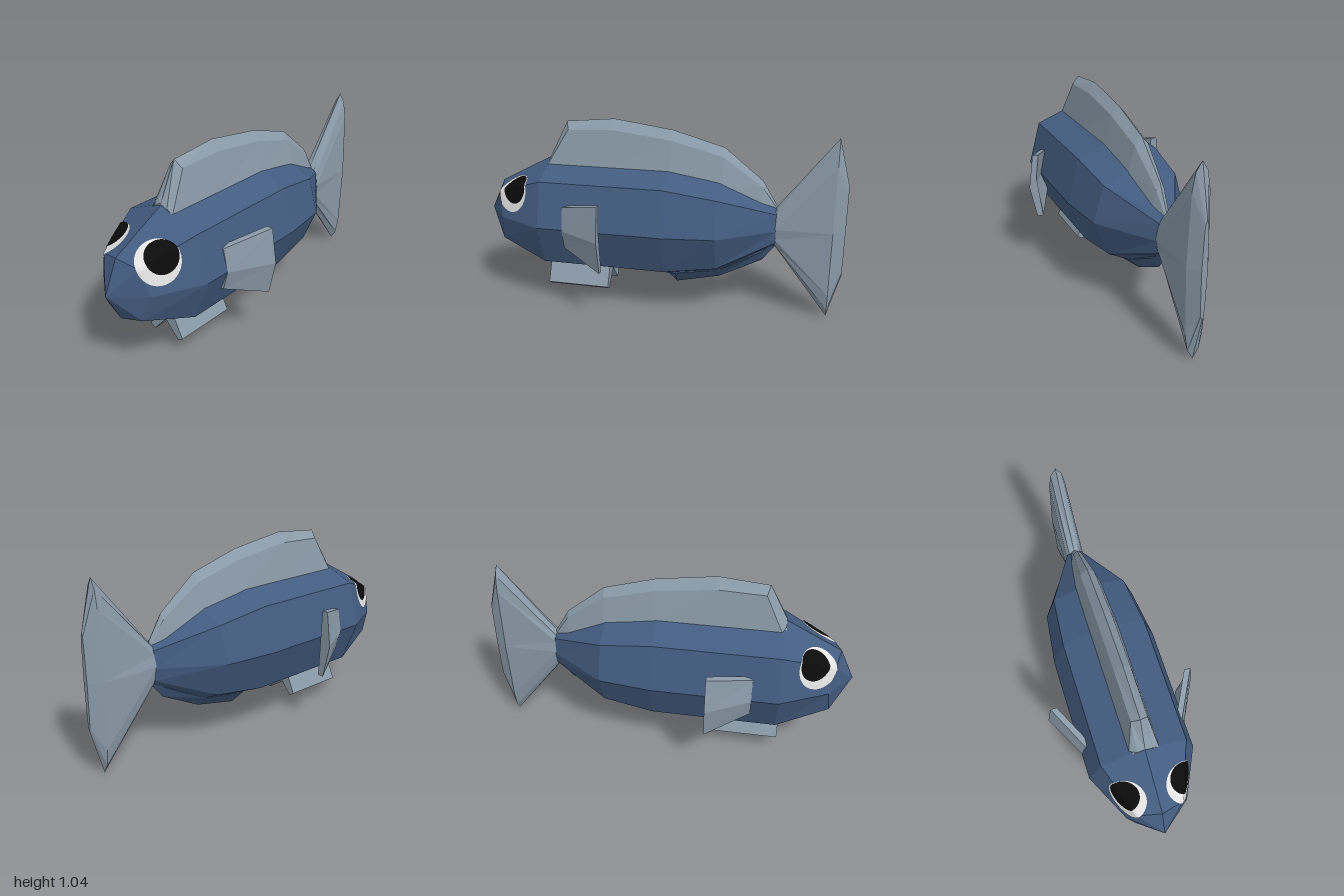
import * as THREE from 'three';

const mat = (name, color, extra = {}) => Object.assign(new THREE.MeshStandardMaterial({ color, ...extra }), { name });

// Full ring from a right-hand half outline that runs from top centre to bottom centre
const sym = (z, half) => [
  ...half, ...half.slice(1, -1).reverse().map(([x, y, pz]) => [-x, y, pz]),
].map(([x, y, pz]) => [x, y, pz ?? z]);

const ring = (z, pts) => pts.map(([x, y]) => [x, y, z]);
const mirror = rings => rings.map(r => r.map(([x, y, z]) => [-x, y, z]).reverse());

// Faceted skin through rings ordered front to back, capped at both ends
function loft(rings) {
  const pos = [];
  const same = (a, b) => a.every((v, i) => Math.abs(v - b[i]) < 1e-6);
  const tri = (a, b, c) => {
    if (!same(a, b) && !same(b, c) && !same(a, c)) pos.push(...a, ...b, ...c);
  };
  const n = rings[0].length;
  for (let i = 0; i < rings.length - 1; i++) {
    for (let j = 0; j < n; j++) {
      const k = (j + 1) % n, a = rings[i], b = rings[i + 1];
      tri(a[j], a[k], b[j]);
      tri(a[k], b[k], b[j]);
    }
  }
  const first = rings[0], last = rings[rings.length - 1];
  for (let j = 1; j < n - 1; j++) {
    tri(first[0], first[j + 1], first[j]);
    tri(last[0], last[j], last[j + 1]);
  }
  const g = new THREE.BufferGeometry();
  g.setAttribute('position', new THREE.Float32BufferAttribute(pos, 3));
  g.computeVertexNormals();
  return g;
}

// Disc draped over the head along a viewing direction
function drape(target, centre, dir, radius, lift) {
  const g = new THREE.RingGeometry(0.0005, radius, 40, 8);
  const turn = new THREE.Quaternion().setFromUnitVectors(new THREE.Vector3(0, 0, 1), dir);
  const ray = new THREE.Raycaster(), p = new THREE.Vector3(), back = dir.clone().negate();
  const pos = g.attributes.position;
  for (let i = 0; i < pos.count; i++) {
    p.fromBufferAttribute(pos, i).applyQuaternion(turn).add(centre);
    ray.set(p.clone().addScaledVector(dir, 1), back);
    const hit = ray.intersectObject(target)[0];
    if (hit) p.copy(hit.point);
    p.addScaledVector(dir, lift);
    pos.setXYZ(i, p.x, p.y, p.z);
  }
  g.computeVertexNormals();
  return g;
}

export function createModel() {
  const model = new THREE.Group();
  model.name = 'fish';
  const bodyBlue = mat('body blue', 0x435c80, { flatShading: true });
  const finGrey = mat('fin grey', 0x8a9aa8, { flatShading: true });
  const eyeWhite = mat('eye white', 0xe2e2e2);
  const pupilBlack = mat('pupil black', 0x0b0b0b);
  const add = (name, geometry, material) => {
    const m = new THREE.Mesh(geometry, material);
    m.name = name;
    model.add(m);
    return m;
  };

  // Body and head, from the nose to the tail root
  const girth = [[0, 0.82], [0.225, 0.73], [0.29, 0.49], [0.195, 0.26], [0, 0.17]];
  const body = add('body', loft([
    sym(1, Array(5).fill([0, 0.49])),
    sym(0.9, [[0, 0.66, 0.92], [0.12, 0.63, 0.89], [0.165, 0.49, 0.87], [0.12, 0.35, 0.89], [0, 0.33, 0.92]]),
    sym(0.615, girth),
    sym(-0.06, girth),
    sym(-0.34, [[0, 0.77], [0.2, 0.685], [0.255, 0.49], [0.17, 0.295], [0, 0.21]]),
    sym(-0.64, [[0, 0.61], [0.042, 0.58], [0.055, 0.49], [0.042, 0.42], [0, 0.39]]),
  ]), bodyBlue);

  // Belly keel behind the middle
  const keel = (z, w, top, bottom) => sym(z, [[0, top + 0.03], [w, top], [0, bottom]]);
  add('bellyKeel', loft([
    keel(-0.05, 0.06, 0.2, 0.17),
    keel(-0.1, 0.065, 0.2, 0.125),
    keel(-0.34, 0.06, 0.24, 0.18),
    keel(-0.57, 0.035, 0.36, 0.3),
    keel(-0.64, 0.02, 0.42, 0.39),
  ]), bodyBlue);

  // Back fin: ridge, shoulder and base at each station
  const backFin = (z, ridge, sw, sy, bw, by) => sym(z, [[0, ridge], [sw, sy], [bw, by], [0, by - 0.04]]);
  add('backFin', loft([
    backFin(0.62, 0.825, 0.04, 0.81, 0.075, 0.785),
    sym(0.6, [[0, 1.02, 0.52], [0.042, 0.98, 0.505], [0.076, 0.785], [0, 0.74]]),
    backFin(0.25, 1.045, 0.042, 0.99, 0.076, 0.785),
    backFin(-0.07, 1.0, 0.042, 0.95, 0.076, 0.785),
    backFin(-0.35, 0.92, 0.038, 0.875, 0.07, 0.73),
    backFin(-0.56, 0.75, 0.022, 0.72, 0.04, 0.62),
    backFin(-0.64, 0.615, 0.008, 0.605, 0.015, 0.595),
  ]), finGrey);

  // Tail fin, tall and lens-shaped
  add('tailFin', loft([
    sym(-0.635, [[0, 0.61], [0.03, 0.595], [0.045, 0.56], [0.056, 0.5], [0.045, 0.44], [0.03, 0.405], [0, 0.39]]),
    sym(-0.935, [[0, 1], [0.03, 0.95], [0.045, 0.86], [0.056, 0.5], [0.045, 0.14], [0.03, 0.05], [0, 0]]),
    sym(-1, [[0, 0.75], [0.008, 0.73], [0.011, 0.68], [0.015, 0.5], [0.011, 0.32], [0.008, 0.27], [0, 0.25]]),
  ]), finGrey);

  // Paired fins and eyes
  const sideFin = [
    ring(0.475, [[0.265, 0.61], [0.29, 0.485], [0.26, 0.38], [0.225, 0.38], [0.255, 0.485], [0.23, 0.61]]),
    ring(0.245, [[0.385, 0.67], [0.41, 0.48], [0.37, 0.295], [0.335, 0.295], [0.375, 0.48], [0.35, 0.67]]),
  ];
  const bellyQuad = [[0.065, 0.2], [0.115, 0.095], [0.085, 0.075], [0, 0.17]];
  const bellyFin = [ring(0.632, bellyQuad), ring(0.28, bellyQuad)];

  for (const [side, s] of [['left', 1], ['right', -1]]) {
    const place = rings => loft(s > 0 ? rings : mirror(rings));
    add(side + 'SideFin', place(sideFin), finGrey);
    add(side + 'BellyFin', place(bellyFin), finGrey);
    const dir = new THREE.Vector3(s * 0.68, 0.57, 0.46).normalize();
    add(side + 'Eye', drape(body, new THREE.Vector3(s * 0.125, 0.62, 0.78), dir, 0.11, 0.004), eyeWhite);
    add(side + 'Pupil', drape(body, new THREE.Vector3(s * 0.127, 0.638, 0.76), dir, 0.083, 0.008), pupilBlack);
  }
  return model;
}
